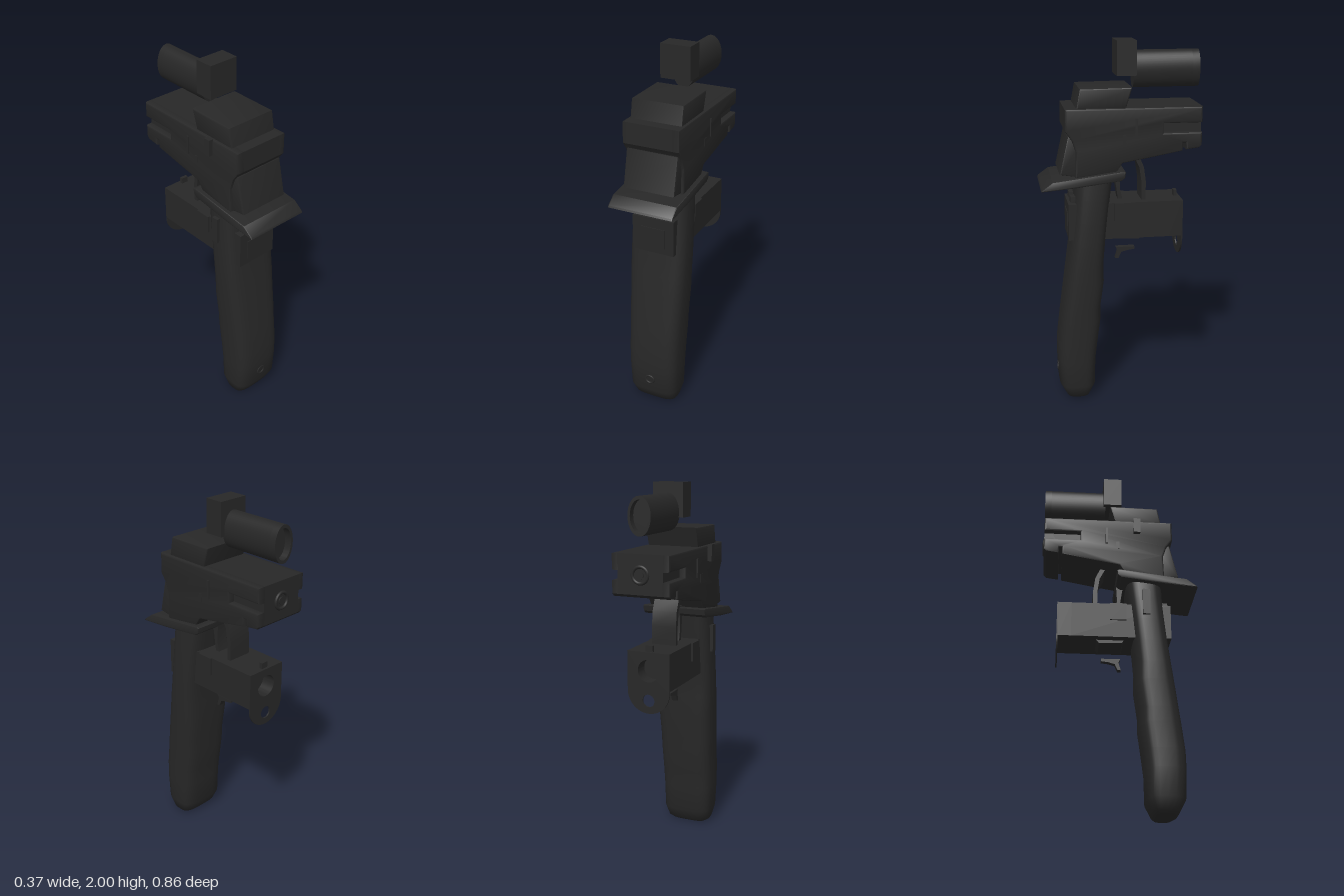
import * as THREE from 'three';
import { toCreasedNormals } from 'three/addons/utils/BufferGeometryUtils.js';

const black = new THREE.MeshStandardMaterial({ color: 0x272727 });
black.name = 'matte black';

export function createModel() {
  const root = new THREE.Group();

  const add = (name, geo, x = 0, y = 0, z = 0) => {
    const mesh = new THREE.Mesh(geo, black);
    mesh.name = name;
    mesh.position.set(x, y, z);
    root.add(mesh);
    return mesh;
  };
  const box = (name, w, h, d, x, y, z) => add(name, new THREE.BoxGeometry(w, h, d), x, y, z);
  const extrude = (shape, depth, bevel = 0) => {
    const geo = new THREE.ExtrudeGeometry(shape, {
      depth: depth - 2 * bevel, bevelEnabled: bevel > 0, bevelThickness: bevel,
      bevelSize: bevel, bevelOffset: -bevel, bevelSegments: 2, curveSegments: 24,
    });
    return geo.translate(0, 0, bevel);
  };
  // Side profile of [z, y] points, extruded across x and centred on cx
  const side = (name, pts, width, bevel = 0, cx = 0) => {
    const shape = new THREE.Shape(pts.map(([z, y]) => new THREE.Vector2(z, y)));
    const geo = extrude(shape, width, bevel).translate(0, 0, -width / 2).rotateY(-Math.PI / 2);
    return add(name, toCreasedNormals(geo, 0.5), cx);
  };
  // Shape in x and y, extruded from z0 to z1
  const along = (name, shape, z0, z1) =>
    add(name, toCreasedNormals(extrude(shape, z1 - z0), 0.5), 0, 0, z0);
  const circle = (y, rx, ry = rx) => new THREE.Shape().absellipse(0, y, rx, ry, 0, Math.PI * 2);

  // Sight: block with an oval tube, hollow at its end
  box('sightBlock', 0.17, 0.18, 0.105, 0, 1.91, -0.033);
  along('sightTube', circle(1.848, 0.063, 0.098), -0.39, -0.075);
  const rim = circle(1.848, 0.063, 0.098);
  rim.holes.push(circle(1.848, 0.05, 0.08));
  along('sightRim', rim, -0.428, -0.39);

  // Receiver: solid core, with a side slab on each side that carries the slot
  const muzzle = [[-0.424, 1.665], [-0.424, 1.46], [-0.41, 1.446]];
  const slotted = [[-0.424, 1.665], [-0.424, 1.58], [-0.22, 1.58], [-0.22, 1.53],
    [-0.424, 1.53], [-0.424, 1.46], [-0.41, 1.446]];
  const belly = [[-0.34, 1.437], [-0.338, 1.475], [-0.322, 1.475], [-0.322, 1.432],
    [-0.12, 1.395], [0, 1.375], [0.03, 1.33], [0.25, 1.3], [0.245, 1.44], [0.265, 1.5],
    [0.3, 1.55], [0.3, 1.665]];
  side('receiverCore', [...muzzle, ...belly], 0.25);
  for (const s of [-1, 1]) {
    side('receiverSide', [...slotted, ...belly], 0.05, 0.01, s * 0.135);
    box('sidePin', 0.012, 0.1, 0.012, s * 0.161, 1.56, -0.072);
    box('sideMark', 0.004, 0.045, 0.02, s * 0.161, 1.5, -0.01);
  }
  add('muzzleRing', new THREE.TorusGeometry(0.042, 0.009, 8, 28), 0, 1.56, -0.424);
  add('muzzlePlug', new THREE.CylinderGeometry(0.02, 0.02, 0.01, 20).rotateX(Math.PI / 2), 0, 1.56, -0.425);
  side('topHump', [[0.24, 1.66], [0.22, 1.765], [-0.053, 1.768], [-0.02, 1.66]], 0.29, 0.008);
  side('rearWedge', [[0.285, 1.52], [0.33, 1.32], [0.2, 1.3], [0.2, 1.52]], 0.29, 0.008);
  box('sideKnob', 0.025, 0.09, 0.038, -0.171, 1.625, 0.098);

  // Hand guard plate
  side('guardPlate', [[0.43, 1.24], [0.425, 1.25], [0.37, 1.29], [0, 1.335], [-0.015, 1.33],
    [-0.01, 1.3], [0.01, 1.285], [0.25, 1.255]], 0.366, 0.006);

  // Grip lofted through rounded sections: [y, back z, front z, half width]
  const rows = [
    [0, 0.285, 0.19, 0.1], [0.015, 0.31, 0.175, 0.125], [0.08, 0.345, 0.143, 0.142],
    [0.23, 0.352, 0.14, 0.148], [0.33, 0.35, 0.128, 0.15], [0.47, 0.333, 0.11, 0.153],
    [0.55, 0.322, 0.11, 0.156], [0.7, 0.302, 0.09, 0.16], [0.8, 0.288, 0.093, 0.163],
    [0.92, 0.272, 0.083, 0.164], [1.05, 0.258, 0.07, 0.163], [1.18, 0.246, 0.055, 0.16],
    [1.33, 0.24, 0.035, 0.152]];
  const N = 32, pos = [], idx = [];
  const round = (v) => Math.sign(v) * Math.abs(v) ** 0.55;
  for (const [y, zb, zf, w] of rows) {
    for (let i = 0; i < N; i++) {
      const t = (i / N) * Math.PI * 2;
      pos.push(w * round(Math.cos(t)), y, (zb + zf) / 2 + ((zb - zf) / 2) * round(Math.sin(t)));
    }
  }
  const last = (rows.length - 1) * N, centre = rows.length * N;
  pos.push(0, 0, 0.237, 0, 1.33, 0.137);
  for (let i = 0; i < N; i++) {
    const j = (i + 1) % N;
    for (let r = 0; r < last; r += N) idx.push(r + i, r + N + i, r + j, r + j, r + N + i, r + N + j);
    idx.push(centre, i, j, centre + 1, last + j, last + i);
  }
  const gripGeo = new THREE.BufferGeometry();
  gripGeo.setAttribute('position', new THREE.Float32BufferAttribute(pos, 3));
  gripGeo.setIndex(idx);
  gripGeo.computeVertexNormals();
  add('grip', toCreasedNormals(gripGeo, 0.9));
  add('gripScrew', new THREE.TorusGeometry(0.024, 0.006, 6, 16), 0, 0.16, 0.348);
  box('gripLever', 0.02, 0.15, 0.04, -0.167, 1.145, 0.147);

  // Box running through the grip, with a bored front end
  box('lowerBox', 0.24, 0.2, 0.545, 0, 1.05, 0.0125);
  const bored = new THREE.Shape([[-0.12, 0.95], [0.12, 0.95], [0.12, 1.15], [-0.12, 1.15]]
    .map((p) => new THREE.Vector2(...p)));
  bored.holes.push(circle(1.05, 0.06));
  along('lowerBoxFront', bored, -0.33, -0.26);

  // Front plate with a round hanging tab
  const tab = new THREE.Shape();
  tab.moveTo(0.12, 1.15);
  tab.lineTo(-0.12, 1.15);
  tab.lineTo(-0.12, 0.94);
  tab.absarc(0, 0.94, 0.12, Math.PI, Math.PI * 2, false);
  tab.lineTo(0.12, 1.15);
  tab.holes.push(circle(1.05, 0.06), circle(0.89, 0.034));
  along('frontTab', tab, -0.338, -0.33);
  box('frontNub', 0.04, 0.035, 0.018, 0, 1.165, -0.315);
  side('boxBelly', [[0.03, 0.955], [0.02, 0.935], [-0.105, 0.93], [-0.125, 0.955]], 0.15);
  for (const s of [-1, 1]) {
    box('boxSidePlate', 0.012, 0.1, 0.09, s * 0.124, 1.1, -0.005);
    box('rearLug', 0.06, 0.035, 0.04, s * 0.055, 1.165, 0.25);
  }
  box('rearPanel', 0.14, 0.11, 0.006, 0, 1.04, 0.286);

  // Trigger, its guard and the small catch below
  side('triggerGuard', [[-0.06, 1.4], [-0.075, 1.39], [-0.105, 1.33], [-0.117, 1.25], [-0.117, 1.15],
    [-0.14, 1.15], [-0.141, 1.25], [-0.13, 1.33], [-0.1, 1.4]], 0.14);
  side('trigger', [[0.035, 1.34], [0.018, 1.23], [0.005, 1.14], [-0.03, 1.05], [-0.042, 1.05],
    [-0.02, 1.14], [-0.004, 1.21], [-0.012, 1.34]], 0.07);
  side('lowerCatch', [[0.015, 0.865], [-0.09, 0.865], [-0.09, 0.85], [-0.05, 0.845], [-0.015, 0.835],
    [0.0, 0.8], [0.018, 0.8], [0.005, 0.845]], 0.03);
  return root;
}
